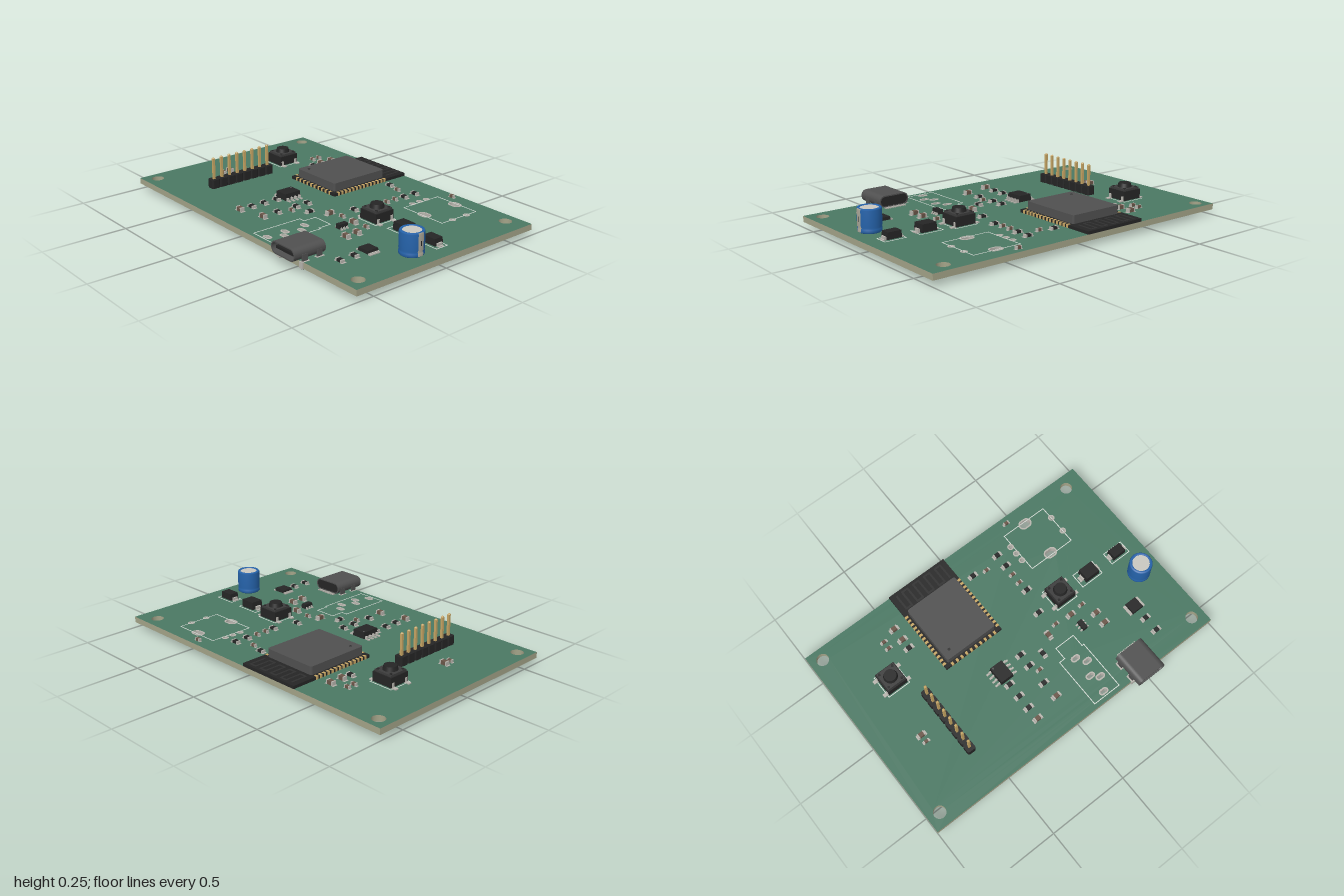
import * as THREE from 'three';

const mats = {};
const mat = (c) => (mats[c] ??= new THREE.MeshStandardMaterial({ color: c }));
const TOP = 0.068, BOTTOM = 0.033;
const GREEN = 0x4a7863, EDGE = 0xa3a388, BLACK = 0x252525, GREY = 0x505050;
const METAL = 0xb8b5ae, GOLD = 0xc6a564, SILK = 0xd5dbd5, BLUE = 0x2563ab;

function add(parent, name, geo, color, x = 0, y = 0, z = 0) {
  const m = new THREE.Mesh(geo, Array.isArray(color) ? color.map(mat) : mat(color));
  m.name = name;
  m.position.set(x, y, z);
  parent.add(m);
  return m;
}
// Box or cylinder whose underside rests at y
const box = (p, name, c, x, y, z, w, h, d) =>
  add(p, name, new THREE.BoxGeometry(w, h, d), c, x, y + h / 2, z);
const cyl = (p, name, c, x, y, z, r, h, n = 28) =>
  add(p, name, new THREE.CylinderGeometry(r, r, h, n), c, x, y + h / 2, z);

function group(parent, name, x, z, y = TOP) {
  const g = new THREE.Group();
  g.name = name;
  g.position.set(x, y, z);
  parent.add(g);
  return g;
}

// Rounded slot outline; a circle when w equals h
function slot(x, y, w, h, r = Math.min(w, h) / 2, T = THREE.Path) {
  const p = new T(), a = w / 2 - r, b = h / 2 - r;
  p.absarc(x + a, y + b, r, 0, Math.PI / 2);
  p.absarc(x - a, y + b, r, Math.PI / 2, Math.PI);
  p.absarc(x - a, y - b, r, Math.PI, Math.PI * 1.5);
  p.absarc(x + a, y - b, r, Math.PI * 1.5, Math.PI * 2);
  p.closePath();
  return p;
}
const extrude = (s, depth) => new THREE.ExtrudeGeometry(s, { depth, bevelEnabled: false, curveSegments: 8 });

// Drilled holes: x, z, width, depth, plated
const holes = [
  [-0.925, -0.593, 0.074, 0.074], [0.882, -0.583, 0.074, 0.074],
  [-0.925, 0.53, 0.074, 0.074], [0.92, 0.53, 0.074, 0.074],
  [0.533, -0.55, 0.07, 0.046, 1], [0.533, -0.305, 0.07, 0.046, 1],
  ...[-0.483, -0.428, -0.373].map((z) => [0.369, z, 0.024, 0.024, 1]),
  ...[-0.483, -0.373].map((z) => [0.684, z, 0.024, 0.024, 1]),
  ...[[0.225, 0.304], [0.268, 0.358], [0.225, 0.438], [0.268, 0.476], [0.225, 0.556]]
    .map(([x, z]) => [x, z, 0.044, 0.022, 1]),
];

function board(root) {
  const s = new THREE.Shape();
  s.moveTo(-1, -0.61); s.lineTo(1, -0.61); s.lineTo(1, 0.663); s.lineTo(-1, 0.663); s.closePath();
  for (const [x, z, w, d] of holes) s.holes.push(slot(x, -z, w, d));
  add(root, 'circuitBoard', extrude(s, TOP - BOTTOM).rotateX(-Math.PI / 2), [GREEN, EDGE], 0, BOTTOM, 0);
  // Plated rings on both faces
  for (const [x, z, w, d, plated] of holes) {
    if (!plated) continue;
    const ring = slot(0, 0, w + 0.016, d + 0.016, undefined, THREE.Shape);
    ring.holes.push(slot(0, 0, w - 0.002, d - 0.002));
    const geo = extrude(ring, TOP - BOTTOM + 0.002).rotateX(-Math.PI / 2);
    add(root, 'platedHole', geo, METAL, x, BOTTOM - 0.001, z);
  }
}

// Printed outline made of thin strips between right-angled corners
function outline(root, pts) {
  pts.forEach(([x, z], i) => {
    const [u, v] = pts[(i + 1) % pts.length], t = 0.005;
    box(root, 'printedOutline', SILK, (x + u) / 2, TOP, (z + v) / 2, Math.abs(u - x) + t, 0.001, Math.abs(v - z) + t);
  });
}
const rect = (x, z, w, d) => [[x - w / 2, z - d / 2], [x + w / 2, z - d / 2], [x + w / 2, z + d / 2], [x - w / 2, z + d / 2]];

function radioModule(root) {
  const g = group(root, 'radioModule', -0.2, -0.382);
  box(g, 'modulePlate', BLACK, 0, 0, 0, 0.4, 0.018, 0.565);
  const shield = slot(0, 0, 0.343, 0.39, 0.012, THREE.Shape);
  add(g, 'shieldCan', extrude(shield, 0.05).rotateX(-Math.PI / 2), GREY, 0, 0.017, 0.064);
  cyl(g, 'pinOneMark', 0x303030, -0.125, 0.067, 0.21, 0.009, 0.001, 16);
  for (let i = 0; i < 14; i++)
    for (const s of [-1, 1]) box(g, 'edgePad', GOLD, s * 0.192, -0.0005, -0.115 + i * 0.028, 0.02, 0.0195, 0.015);
  for (let i = 0; i < 10; i++) box(g, 'edgePad', GOLD, (i - 4.5) * 0.034, -0.0005, 0.275, 0.015, 0.0195, 0.018);
  // Meandering antenna trace
  for (let i = 0; i < 9; i++) {
    const x = -0.16 + i * 0.04;
    box(g, 'antennaTrace', 0x303030, x, 0.018, -0.21, 0.012, 0.0015, 0.1);
    if (i < 8) box(g, 'antennaTrace', 0x303030, x + 0.02, 0.018, i % 2 ? -0.26 : -0.16, 0.05, 0.0015, 0.012);
  }
}

function pushButton(root, x, z) {
  const g = group(root, 'pushButton', x, z);
  box(g, 'buttonBody', BLACK, 0, 0.004, 0, 0.13, 0.056, 0.13);
  box(g, 'buttonCover', 0x3c3c3c, 0, 0.06, 0, 0.116, 0.012, 0.116);
  add(g, 'buttonPlunger', new THREE.CylinderGeometry(0.036, 0.042, 0.024, 28), BLACK, 0, 0.084, 0);
  for (const i of [-1, 1]) for (const j of [-1, 1]) {
    cyl(g, 'coverRivet', BLACK, i * 0.046, 0.072, j * 0.046, 0.008, 0.003, 12);
    box(g, 'buttonLeg', METAL, i * 0.077, 0, j * 0.05, 0.034, 0.006, 0.022);
    box(g, 'buttonLegRiser', METAL, i * 0.066, 0, j * 0.05, 0.006, 0.03, 0.016);
  }
  outline(root, rect(x, z, 0.145, 0.145));
}

function pinHeader(root) {
  const g = group(root, 'pinHeader', -0.58, 0.153, 0);
  for (let i = 0; i < 8; i++) {
    const z = (i - 3.5) * 0.056;
    const s = slot(0, 0, 0.054, 0.056, 0.012, THREE.Shape);
    add(g, 'headerBlock', extrude(s, 0.053).rotateX(-Math.PI / 2), BLACK, 0, TOP, z);
    box(g, 'headerPin', GOLD, 0, 0.006, z, 0.014, 0.241, 0.014);
    for (const [y, a, b] of [[0.247, 0.005, 0.01], [0, 0.01, 0.005]])
      add(g, 'pinTip', new THREE.CylinderGeometry(a, b, 0.006, 4).rotateY(Math.PI / 4), GOLD, 0, y + 0.003, z);
    cyl(g, 'solderRing', METAL, 0, BOTTOM - 0.001, z, 0.02, 0.002, 16);
  }
}

function capacitor(root) {
  const g = group(root, 'canCapacitor', 0.864, 0.118);
  const profile = [[0, 0.002], [0.062, 0.002], [0.068, 0.008], [0.068, 0.024], [0.063, 0.031], [0.068, 0.038],
    [0.068, 0.13], [0.064, 0.137], [0.053, 0.137], [0.051, 0.133]].map((p) => new THREE.Vector2(...p));
  add(g, 'canSleeve', new THREE.LatheGeometry(profile, 40), BLUE);
  cyl(g, 'canTop', 0xc9c7c0, 0, 0.12, 0, 0.052, 0.013, 40);
  // Polarity stripe facing +x
  const stripe = profile.slice(2, 8).map((p) => new THREE.Vector2(p.x + 0.0008, p.y));
  const band = add(g, 'polarityStripe', new THREE.LatheGeometry(stripe, 8, Math.PI / 2 - 0.27, 0.54), 0xaaa698);
  band.material.side = THREE.DoubleSide;
  box(g, 'minusMark', BLACK, 0.0685, 0.065, 0, 0.002, 0.028, 0.006);
  for (const s of [-1, 1]) cyl(g, 'canLead', METAL, s * 0.027, -0.044, 0, 0.007, 0.05, 10);
}

function usbSocket(root) {
  const g = group(root, 'powerSocket', 0.492, 0.558, 0.107);
  const shell = slot(0, 0, 0.192, 0.07, 0.033, THREE.Shape);
  shell.holes.push(slot(0, 0, 0.178, 0.056, 0.027));
  add(g, 'socketShell', extrude(shell, 0.204), GREY, 0, 0, -0.102);
  add(g, 'socketBack', extrude(slot(0, 0, 0.182, 0.06, 0.028, THREE.Shape), 0.06), BLACK, 0, 0, -0.1);
  box(g, 'socketTongue', BLACK, 0, -0.008, 0.02, 0.14, 0.016, 0.14);
  for (const s of [-1, 1]) for (const z of [-0.062, 0.035]) {
    box(g, 'mountTab', GREY, s * 0.094, -0.082, z, 0.008, 0.082, 0.035);
    box(g, 'mountRing', METAL, s * 0.094, -0.075, z, 0.026, 0.037, 0.05);
  }
  for (let i = 0; i < 12; i++) box(g, 'socketContact', METAL, (i - 5.5) * 0.0115, -0.039, -0.11, 0.006, 0.006, 0.025);
}

// Moulded part with flat leads on its left and right sides
function chip(root, name, x, z, w, h, d, leads, leadW, reach) {
  const g = group(root, name, x, z);
  const body = box(g, 'chipBody', BLACK, 0, 0.004, 0, w, h, d);
  const p = body.geometry.attributes.position;
  for (let i = 0; i < p.count; i++) if (p.getY(i) > 0) p.setXYZ(i, p.getX(i) * 0.93, p.getY(i), p.getZ(i) * 0.95);
  body.geometry.computeVertexNormals();
  for (const s of [-1, 1]) for (let i = 0; i < leads; i++) {
    const lz = (i - (leads - 1) / 2) * (d / leads);
    box(g, 'leadFoot', METAL, s * (w / 2 + reach / 2), 0, lz, reach, 0.006, leadW);
    box(g, 'leadRiser', METAL, s * (w / 2 + reach * 0.25), 0, lz, reach * 0.5, h * 0.5, leadW);
  }
  return g;
}

// Two-terminal part on its solder pads
function passive(root, x, z, kind, upright) {
  const R = kind === 'R', S = kind === 's';
  const l = S ? 0.034 : 0.046, d = S ? 0.017 : 0.026, h = R ? 0.014 : S ? 0.016 : 0.022;
  const g = group(root, R ? 'resistor' : 'chipCapacitor', x, z);
  box(g, 'partBody', R ? BLACK : 0x6a5548, 0, 0.001, 0, l * 0.64, h, d);
  for (const s of [-1, 1]) {
    box(g, 'endCap', METAL, s * l * 0.41, 0.001, 0, l * 0.18, h + 0.001, d + 0.001);
    box(g, 'solderPad', METAL, s * l * 0.52, 0, 0, l * 0.34, 0.0015, d * 1.15);
  }
  if (upright) g.rotation.y = Math.PI / 2;
}

const passives = {
  R: [[-0.492, -0.342], [0.075, -0.471], [0.27, -0.487], [0.27, -0.402], [0.27, -0.203], [0.235, -0.048],
    [-0.172, 0.193], [-0.172, 0.282], [-0.172, 0.368], [-0.012, 0.092], [-0.012, 0.175], [-0.012, 0.307],
    [0.096, 0.165, 1], [0.705, 0.365], [0.705, 0.46]],
  C: [[-0.492, -0.487], [-0.492, -0.405], [-0.745, 0.12], [-0.172, 0.45], [-0.006, 0.412], [0.192, 0.098, 1],
    [0.374, 0.08], [0.497, 0.162], [0.497, 0.24]],
  s: [[0.443, -0.62], [-0.585, -0.46], [-0.585, -0.412], [0.16, -0.45], [0.265, -0.333], [0.265, -0.268],
    [-0.745, 0.166], [0.018, 0.23], [0.268, 0.07], [0.465, 0.07]],
};

export function createModel() {
  const root = new THREE.Group();
  root.name = 'circuitBoardAssembly';
  board(root);
  radioModule(root);
  pushButton(root, -0.684, -0.246);
  pushButton(root, 0.406, -0.062);
  pinHeader(root);
  capacitor(root);
  usbSocket(root);
  // Amplifier, regulator, diodes and fuse
  const amp = chip(root, 'amplifierChip', -0.166, 0.112, 0.088, 0.038, 0.112, 4, 0.011, 0.032);
  cyl(amp, 'pinOneDot', 0x555555, -0.028, 0.042, -0.042, 0.006, 0.001, 12);
  chip(root, 'regulatorChip', 0.384, 0.173, 0.032, 0.026, 0.062, 3, 0.009, 0.014);
  chip(root, 'largeDiode', 0.626, -0.06, 0.098, 0.046, 0.078, 1, 0.035, 0.024);
  chip(root, 'smallDiode', 0.84, -0.06, 0.09, 0.04, 0.06, 1, 0.035, 0.02);
  chip(root, 'fuse', 0.7, 0.267, 0.078, 0.018, 0.074, 1, 0.07, 0.016);
  for (const kind in passives) for (const [x, z, up] of passives[kind]) passive(root, x, z, kind, up);
  // Printed outlines of the unfitted parts and the diodes
  outline(root, rect(0.533, -0.427, 0.3, 0.27));
  outline(root, rect(0.618, -0.06, 0.148, 0.094));
  outline(root, rect(0.842, -0.06, 0.132, 0.08));
  outline(root, [[0.175, 0.187], [0.305, 0.187], [0.305, 0.267], [0.318, 0.267], [0.318, 0.583], [0.137, 0.583], [0.137, 0.267], [0.175, 0.267]]);
  return root;
}
